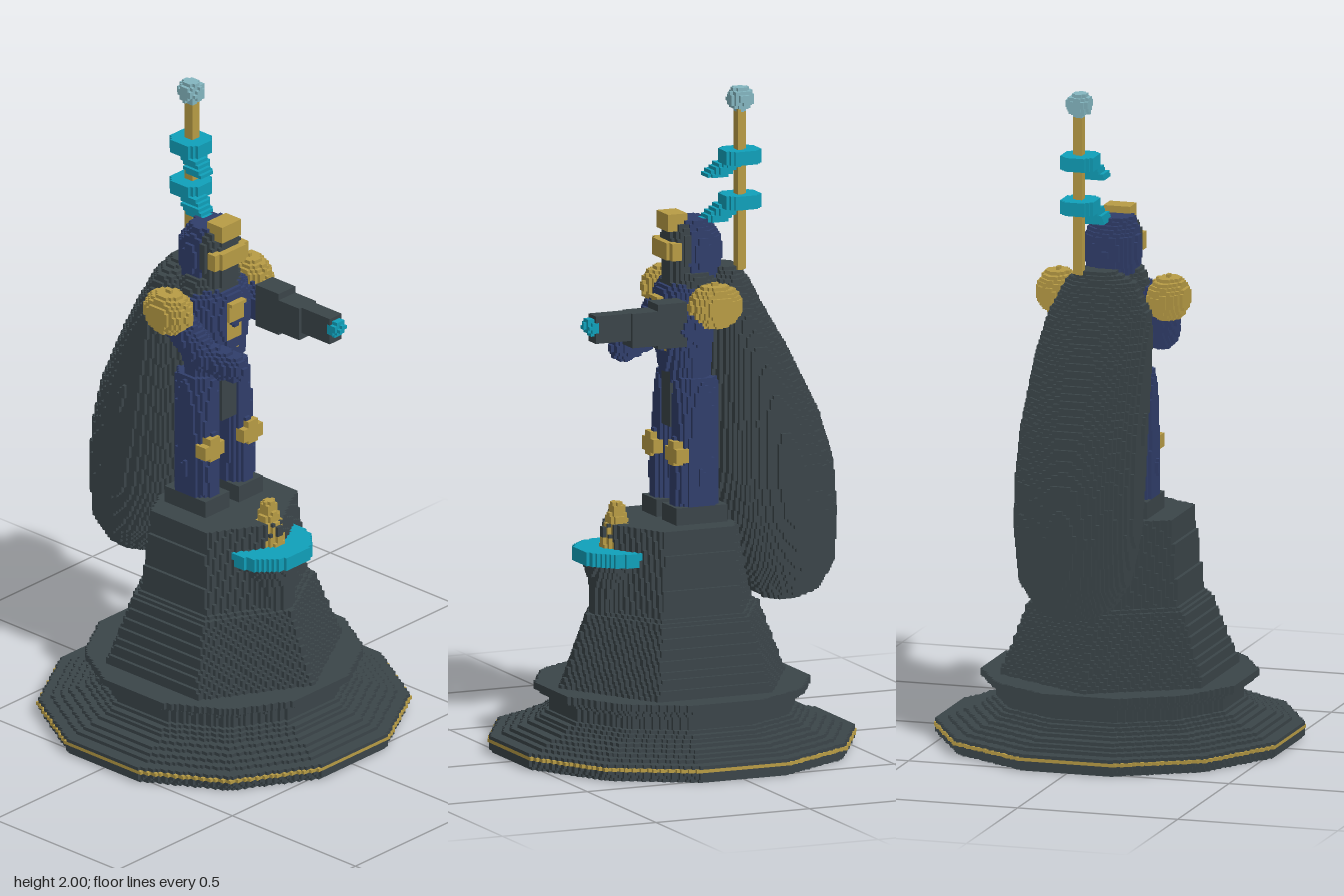
import * as THREE from 'three';

// The statue is built from small cubes: each part is a solid rule sampled on one shared grid.
const S = 1 / 96, NX = 106, NY = 192, NZ = 106;
const DIM = [NX, NY, NZ];
const index = (x, y, z) => (y * NZ + z) * NX + x;

// piecewise linear lookup: rows are [y, a, b, ...]
function slice(rows, y) {
  for (let i = 1; i < rows.length; i++) {
    const p = rows[i - 1], q = rows[i];
    if (y >= p[0] && y <= q[0]) {
      const t = (y - p[0]) / (q[0] - p[0] || 1);
      return p.map((v, k) => v + (q[k] - v) * t);
    }
  }
  return null;
}

// solid rules
const box = (x0, x1, y0, y1, z0, z1) => (x, y, z) =>
  x > x0 && x < x1 && y > y0 && y < y1 && z > z0 && z < z1;
const ellipsoid = (cx, cy, cz, rx, ry, rz) => (x, y, z) =>
  ((x - cx) / rx) ** 2 + ((y - cy) / ry) ** 2 + ((z - cz) / rz) ** 2 < 1;
const any = (...tests) => (x, y, z) => tests.some((t) => t(x, y, z));
// n-sided prism about a vertical axis, rows of [y, apothem]
function prism(n, rows, cx = 0, cz = 0) {
  const dirs = Array.from({ length: n }, (_, k) => [Math.cos(k * 2 * Math.PI / n), Math.sin(k * 2 * Math.PI / n)]);
  return (x, y, z) => {
    const s = slice(rows, y);
    return !!s && dirs.every(([c, d]) => (x - cx) * c + (z - cz) * d <= s[1]);
  };
}
// stacked ellipses, rows of [y, centreX, halfX, centreZ, halfZ]
const loft = (rows) => (x, y, z) => {
  const s = slice(rows, y);
  return !!s && ((x - s[1]) / s[2]) ** 2 + ((z - s[3]) / s[4]) ** 2 < 1;
};
// rounded limb between two points
function limb(a, b, r) {
  const d = b.map((v, i) => v - a[i]), len = d.reduce((s, v) => s + v * v, 0);
  return (x, y, z) => {
    const p = [x - a[0], y - a[1], z - a[2]];
    const t = Math.min(1, Math.max(0, p.reduce((s, v, i) => s + v * d[i], 0) / len));
    return p.reduce((s, v, i) => s + (v - d[i] * t) ** 2, 0) < r * r;
  };
}

export function createModel() {
  const paint = (name, color) => {
    const m = new THREE.MeshStandardMaterial({ color });
    m.name = name;
    return m;
  };
  const stone = paint('darkStone', 0x3b4549);
  const navy = paint('navy', 0x303e6b);
  const gold = paint('gold', 0xb89c45);
  const cyan = paint('cyan', 0x10a0ba);
  const glass = paint('paleTeal', 0x84b6c0);

  const cells = new Uint8Array(NX * NY * NZ);
  const parts = [];
  // later parts replace the cells of earlier ones
  function add(name, material, test) {
    parts.push({ name, material });
    for (let y = 0; y < NY; y++)
      for (let z = 0; z < NZ; z++)
        for (let x = 0; x < NX; x++)
          if (test((x + 0.5 - NX / 2) * S, (y + 0.5) * S, (z + 0.5 - NZ / 2) * S)) cells[index(x, y, z)] = parts.length;
  }

  // plinth
  add('roundBase', stone, prism(12, [[0, 0.515], [0.02, 0.53], [0.05, 0.53], [0.055, 0.5], [0.08, 0.44], [0.1, 0.395],
    [0.13, 0.355], [0.16, 0.355], [0.185, 0.385], [0.19, 0.4], [0.21, 0.4]]));
  const rim = prism(12, [[0.031, 0.535], [0.051, 0.535]]);
  const rimHole = prism(12, [[0.031, 0.515], [0.051, 0.515]]);
  add('rimBand', gold, (x, y, z) => y > 0.031 && y < 0.042 && rim(x, y, z) && !rimHole(x, y, z));
  add('pedestal', stone, prism(6, [[0.2, 0.32], [0.43, 0.24], [0.435, 0.222], [0.7, 0.195]]));

  // fire bowl on the pedestal front
  add('bowlStem', stone, loft([[0.38, 0, 0.08, 0.17, 0.085], [0.52, 0, 0.085, 0.17, 0.09], [0.585, 0, 0.11, 0.17, 0.11]]));
  const hex = prism(6, [[0.43, 0.222], [0.7, 0.195]]);
  const bowl = loft([[0.583, 0, 0.137, 0.17, 0.137], [0.63, 0, 0.137, 0.17, 0.137]]);
  add('bowl', cyan, (x, y, z) => bowl(x, y, z) && !hex(x, y, z));
  add('flame', gold, loft([[0.625, 0, 0.045, 0.185, 0.045], [0.68, 0, 0.037, 0.182, 0.037], [0.74, 0, 0.022, 0.18, 0.022],
    [0.76, 0, 0.016, 0.18, 0.016]]));

  // billowing cape
  add('cape', stone, loft([[0.44, 0.03, 0.05, -0.34, 0.05], [0.47, 0.03, 0.115, -0.345, 0.105], [0.55, 0.03, 0.165, -0.34, 0.155],
    [0.7, 0.03, 0.187, -0.315, 0.187], [0.85, 0.03, 0.19, -0.295, 0.195], [1.0, 0.025, 0.187, -0.27, 0.175],
    [1.2, 0.015, 0.175, -0.215, 0.13], [1.33, 0.005, 0.155, -0.175, 0.095], [1.42, 0.005, 0.11, -0.16, 0.065],
    [1.46, 0.02, 0.05, -0.16, 0.035]]));

  // legs
  for (const s of [1, -1]) {
    const side = s > 0 ? 'left' : 'right';
    add(side + 'Leg', navy, loft([[0.74, s * 0.075, 0.053, -0.04, 0.072], [0.84, s * 0.075, 0.056, -0.038, 0.072],
      [0.93, s * 0.073, 0.055, -0.04, 0.068], [1.02, s * 0.07, 0.06, -0.045, 0.068], [1.14, s * 0.06, 0.058, -0.05, 0.065]]));
    const x = [s * 0.02, s * 0.13].sort((a, b) => a - b);
    add(side + 'Boot', stone, box(...x, 0.69, 0.75, -0.12, 0.04));
    const k = [s * 0.04, s * 0.12].sort((a, b) => a - b);
    add(side + 'KneePlate', gold, any(box(...k, 0.89, 0.925, 0.0, 0.04),
      box(s * 0.08 - 0.022, s * 0.08 + 0.022, 0.875, 0.945, 0.0, 0.04)));
  }

  // body
  add('torso', navy, loft([[1.08, 0, 0.1, -0.045, 0.06], [1.2, 0, 0.105, -0.04, 0.075], [1.32, 0, 0.125, -0.04, 0.09],
    [1.39, 0, 0.12, -0.045, 0.085], [1.42, 0, 0.09, -0.05, 0.07]]));
  add('hipGuard', stone, box(-0.03, 0.03, 0.98, 1.15, -0.05, 0.02));
  add('chestBand', gold, (x, y, z) => {
    const s = slice([[1.13, 0.0, 0.02], [1.17, 0.012, 0.03], [1.22, 0.03, 0.03], [1.38, 0.06, 0.03]], y);
    return !!s && Math.abs(x) < s[2] && z > -0.02 && z < s[1];
  });

  // arms, the left one holding a blaster
  add('rightArm', navy, any(limb([-0.155, 1.35, -0.06], [-0.125, 1.235, 0.03], 0.047),
    limb([-0.125, 1.235, 0.03], [-0.085, 1.21, 0.12], 0.043)));
  add('leftArm', navy, any(limb([0.155, 1.36, -0.06], [0.145, 1.3, 0.02], 0.046),
    limb([0.145, 1.3, 0.02], [0.14, 1.3, 0.08], 0.04)));
  add('blasterBody', stone, any(box(0.105, 0.175, 1.25, 1.39, 0.03, 0.13), box(0.105, 0.175, 1.265, 1.365, 0.12, 0.21)));
  add('blasterBarrel', stone, box(0.115, 0.165, 1.285, 1.36, 0.2, 0.32));
  add('blasterTip', cyan, ellipsoid(0.14, 1.33, 0.325, 0.026, 0.026, 0.026));
  for (const s of [1, -1])
    add(s > 0 ? 'leftShoulderPad' : 'rightShoulderPad', gold, ellipsoid(s * 0.173, 1.365, -0.063, 0.06, 0.068, 0.081));

  // head
  add('collar', stone, loft([[1.39, 0, 0.11, -0.055, 0.08], [1.45, 0, 0.085, -0.055, 0.07]]));
  add('helmet', navy, loft([[1.43, 0, 0.075, -0.065, 0.075], [1.5, 0, 0.083, -0.07, 0.083], [1.55, 0, 0.08, -0.067, 0.08],
    [1.6, 0, 0.06, -0.055, 0.055]]));
  add('face', stone, loft([[1.43, 0, 0.066, -0.02, 0.04], [1.55, 0, 0.072, -0.02, 0.042], [1.59, 0, 0.055, -0.02, 0.036]]));
  add('visor', gold, any(box(-0.075, 0.075, 1.485, 1.54, 0.0, 0.03), box(-0.055, 0.055, 1.485, 1.54, 0.02, 0.045)));
  add('crest', gold, box(-0.042, 0.042, 1.57, 1.62, -0.036, 0.03));

  // staff with two pennants and an orb
  add('staffPole', gold, loft([[1.45, 0.065, 0.017, -0.192, 0.017], [1.95, 0.065, 0.017, -0.192, 0.017]]));
  [1.81, 1.68].forEach((top, i) => {
    const plate = prism(8, [[top - 0.04, 0.056], [top, 0.056]], 0.062, -0.193);
    const tail = (x, y, z) => {
      // each lower layer slides away from the pole
      const s = slice([[top - 0.085, 0.027, -0.115], [top - 0.035, 0.05, -0.165]], y);
      return !!s && Math.abs(x - s[1]) < 0.034 && Math.abs(z - s[2]) < 0.034 && (x - s[1]) + (z - s[2]) < 0.045;
    };
    add(i ? 'lowerPennant' : 'upperPennant', cyan, any(plate, tail));
  });
  add('orb', glass, ellipsoid(0.065, 1.966, -0.193, 0.037, 0.037, 0.037));

  // skin every exposed cube side, joining neighbours into strips
  const data = parts.map(() => ({ pos: [], nor: [] }));
  const at = (c) => (c.some((v, i) => v < 0 || v >= DIM[i]) ? 0 : cells[index(c[0], c[1], c[2])]);
  for (let d = 0; d < 3; d++) {
    const u = d === 0 ? 2 : 0, w = 3 - d - u;
    for (const sign of [1, -1]) {
      const exposed = (c) => {
        const id = at(c);
        if (!id) return 0;
        const n = c.slice();
        n[d] += sign;
        return at(n) ? 0 : id;
      };
      const c = [0, 0, 0];
      for (c[d] = 0; c[d] < DIM[d]; c[d]++)
        for (c[w] = 0; c[w] < DIM[w]; c[w]++) {
          let start = 0, run = 0;
          for (c[u] = 0; c[u] <= DIM[u]; c[u]++) {
            const id = exposed(c);
            if (id === run) continue;
            if (run) {
              const corner = (a, b) => {
                const p = [0, 0, 0];
                p[d] = c[d] + (sign > 0 ? 1 : 0);
                p[u] = a;
                p[w] = c[w] + b;
                return [(p[0] - NX / 2) * S, p[1] * S, (p[2] - NZ / 2) * S];
              };
              const q = [corner(start, 0), corner(c[u], 0), corner(c[u], 1), corner(start, 1)];
              if (((u + 1) % 3 === w) !== (sign > 0)) q.reverse();
              const normal = [0, 0, 0];
              normal[d] = sign;
              for (const k of [0, 1, 2, 0, 2, 3]) {
                data[run - 1].pos.push(...q[k]);
                data[run - 1].nor.push(...normal);
              }
            }
            run = id;
            start = c[u];
          }
        }
    }
  }

  const group = new THREE.Group();
  group.name = 'statue';
  parts.forEach((part, i) => {
    if (!data[i].pos.length) return;
    const geometry = new THREE.BufferGeometry();
    geometry.setAttribute('position', new THREE.Float32BufferAttribute(data[i].pos, 3));
    geometry.setAttribute('normal', new THREE.Float32BufferAttribute(data[i].nor, 3));
    const mesh = new THREE.Mesh(geometry, part.material);
    mesh.name = part.name;
    group.add(mesh);
  });
  return group;
}
